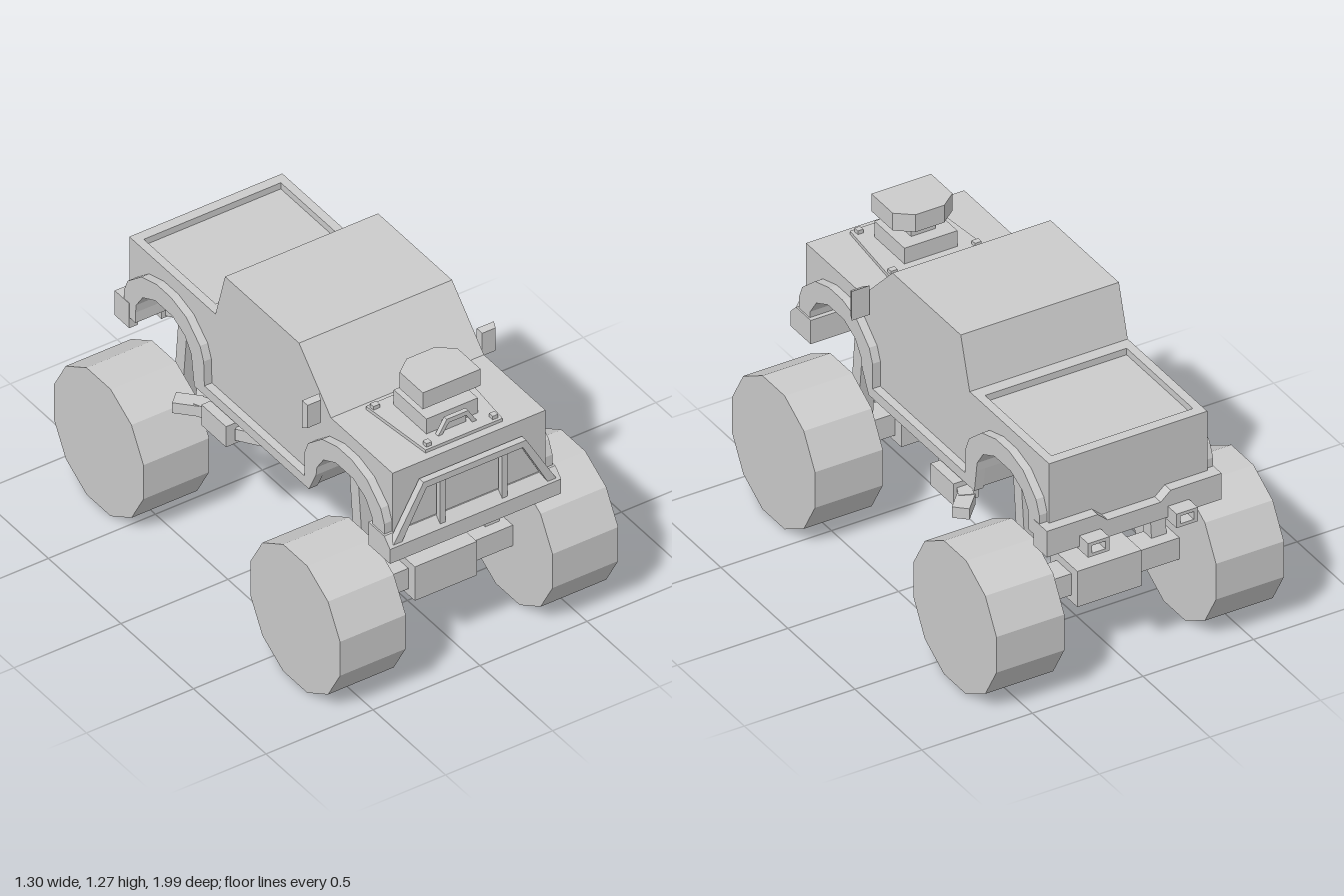
import * as THREE from 'three';

const mat = new THREE.MeshStandardMaterial({ color: 0xcccccc, flatShading: true });

export function createModel() {
  const root = new THREE.Group();
  const SIDES = [['left', 1], ['right', -1]];

  const add = (name, geo) => {
    const m = new THREE.Mesh(geo, mat);
    m.name = name;
    root.add(m);
    return m;
  };
  const box = (name, w, h, d, x, y, z) =>
    add(name, new THREE.BoxGeometry(w, h, d).translate(x, y, z));

  // Extrusion centred on its depth, shape in XY
  const slab = (pts, depth, hole) => {
    const s = new THREE.Shape(pts.map(p => new THREE.Vector2(...p)));
    if (hole) s.holes.push(new THREE.Path(hole.map(p => new THREE.Vector2(...p))));
    return new THREE.ExtrudeGeometry(s, { depth, bevelEnabled: false }).translate(0, 0, -depth / 2);
  };
  // Side profile given as (z, y), extruded across x
  const sideSlab = (pts, width, x = 0) => slab(pts, width).rotateY(-Math.PI / 2).translate(x, 0, 0);
  // Plan outline given as (x, z), extruded between two heights
  const planSlab = (pts, y0, y1, hole) =>
    slab(pts, y1 - y0, hole).rotateX(Math.PI / 2).translate(0, (y0 + y1) / 2, 0);
  const rect = (x0, x1, y0, y1) => [[x0, y0], [x1, y0], [x1, y1], [x0, y1]];
  // Mirror a half outline (x >= 0) across x = 0
  const mirrored = half => [...half, ...half.map(([x, y]) => [-x, y]).reverse()];
  // Square bar between two points
  const bar = (name, a, b, w, h = w) => {
    const p = new THREE.Vector3(...a), q = new THREE.Vector3(...b);
    const m = add(name, new THREE.BoxGeometry(w, h, p.distanceTo(q)));
    m.position.copy(p).add(q).multiplyScalar(0.5);
    m.lookAt(q);
  };

  // Wheel arch curves, running from rear to front around centre c
  const arch = (c, half) => [...half.map(([d, y]) => [c - d, y]), ...half.map(([d, y]) => [c + d, y]).reverse()];
  const inner = [[0.195, 0.75], [0.19, 0.79], [0.145, 0.855], [0.06, 0.895]];
  const outer = [[0.275, 0.81], [0.25, 0.87], [0.155, 0.95], [0.05, 0.98]];
  const FRONT = 0.645, REAR = -0.6;

  // Body shell with arch cut-outs, cab and bed floor
  add('body', sideSlab([
    [-0.89, 0.7], [-0.795, 0.7], ...arch(REAR, inner), [-0.39, 0.66],
    [0.4, 0.66], ...arch(FRONT, inner), [0.84, 0.66], [0.925, 0.66],
    [0.925, 1.045], [0.5, 1.045], [0.28, 1.27], [-0.23, 1.27], [-0.305, 1.015], [-0.89, 1.015],
  ], 0.715));
  box('bodyCore', 0.42, 0.2, 1.7, 0, 0.85, 0.02);
  add('bedRim', planSlab(rect(-0.3575, 0.3575, -0.89, -0.295), 1.01, 1.045,
    rect(-0.32, 0.32, -0.845, -0.35)));

  // Arch flares joined by a sill
  for (const [side, s] of SIDES) {
    add(side + 'FenderTrim', sideSlab([
      [REAR - 0.195, 0.7], ...arch(REAR, inner), [-0.39, 0.65], [0.4, 0.65], ...arch(FRONT, inner),
      [FRONT + 0.195, 0.7], [FRONT + 0.275, 0.7], ...arch(FRONT, outer).reverse(),
      [0.37, 0.695], [-0.32, 0.695], ...arch(REAR, outer).reverse(), [REAR - 0.275, 0.7],
    ], 0.04, s * 0.373));
  }

  // Front bumper and grille guard
  add('frontBumper', sideSlab(
    [[0.82, 0.65], [0.97, 0.65], [0.97, 0.72], [0.93, 0.76], [0.82, 0.76]], 0.8));
  add('grilleGuard', slab(mirrored(
    [[0.34, 0.73], [0.38, 0.73], [0.24, 0.975]]).concat(
    [[-0.34, 0.73], [-0.225, 0.945], [0.225, 0.945]]).filter((p, i) => i !== 5),
  0.03).translate(0, 0, 0.95));
  for (const [side, s] of SIDES) box(side + 'GuardBar', 0.025, 0.23, 0.025, s * 0.145, 0.84, 0.945);

  // Rear bumper with lowered middle and wrapped ends
  add('rearBumper', slab(mirrored(
    [[0.1, 0.65], [0.395, 0.65], [0.395, 0.77], [0.165, 0.77], [0.12, 0.73]]), 0.05).translate(0, 0, -0.91));
  for (const [side, s] of SIDES) {
    box(side + 'BumperEnd', 0.04, 0.12, 0.06, s * 0.375, 0.71, -0.865);
    // Tow hitch: open square tube on a sloping brace
    add(side + 'TowHitch', slab(rect(-0.048, 0.048, 0.635, 0.7), 0.17,
      rect(-0.03, 0.03, 0.65, 0.685)).translate(s * 0.2, 0, -0.915));
    bar(side + 'HitchBrace', [s * 0.2, 0.76, -0.63], [s * 0.2, 0.66, -0.84], 0.06, 0.04);
  }

  // Hood plate, bolts, blower and scoop
  add('hoodPlate', planSlab(mirrored([[0.215, 0.53], [0.18, 0.89]]), 1.04, 1.06));
  for (const [side, s] of SIDES) {
    box(side + 'RearBolt', 0.03, 0.02, 0.025, s * 0.19, 1.067, 0.555);
    box(side + 'FrontBolt', 0.025, 0.02, 0.025, s * 0.155, 1.067, 0.865);
  }
  box('blowerBase', 0.24, 0.075, 0.225, 0, 1.095, 0.695);
  add('beltGuard', slab(
    [[-0.09, 1.06], [-0.07, 1.06], [-0.04, 1.105], [0.04, 1.105], [0.07, 1.06], [0.09, 1.06],
      [0.05, 1.125], [-0.05, 1.125]], 0.02).translate(0, 0, 0.835));
  box('pulley', 0.1, 0.035, 0.03, 0, 1.08, 0.815);
  box('scoopNeck', 0.11, 0.07, 0.09, 0, 1.155, 0.685);
  add('airScoop', planSlab(mirrored(
    [[0.065, 0.59], [0.135, 0.645], [0.135, 0.805]]), 1.185, 1.265));

  // Wing mirrors, tapering toward the front
  for (const [side, s] of SIDES) {
    const g = new THREE.BoxGeometry(0.08, 0.135, 0.025);
    const p = g.attributes.position;
    for (let i = 0; i < p.count; i++) {
      if (p.getZ(i) > 0) p.setXY(i, p.getX(i) * 0.78, p.getY(i) * 0.82);
    }
    add(side + 'Mirror', g.translate(s * 0.408, 1.06, 0.447));
  }

  // Wheels, axles and suspension
  const axles = [['front', 0.685, 1], ['rear', -0.67, -1]];
  for (const [end, z, dir] of axles) {
    for (const [side, s] of SIDES) {
      const tyre = new THREE.CylinderGeometry(0.32, 0.32, 0.307, 12)
        .rotateY(Math.PI / 12).rotateZ(Math.PI / 2);
      add(`${end}${side}Wheel`, tyre.translate(s * 0.4965, 0.31, z));
      bar(`${end}${side}Strut`, [s * 0.282, 0.3, z - dir * 0.04], [s * 0.282, 0.82, z - dir * 0.09], 0.068, 0.06);
    }
    box(end + 'Axle', 0.72, 0.1, 0.11, 0, 0.31, z - dir * 0.02);
    box(end + 'Differential', 0.29, 0.165, 0.2, 0, 0.3125, z - dir * 0.02);
    bar(end + 'CentreLink', [0, 0.36, z - dir * 0.03],
      [0, 0.78, dir > 0 ? z + 0.005 : z + 0.08], 0.094, 0.06);
  }

  // Gearbox under the cab
  box('gearbox', 0.26, 0.085, 0.44, 0, 0.6175, 0.29);

  // Exhausts: down pipe, silencer and tip bent outward
  for (const [side, s] of SIDES) {
    bar(side + 'DownPipe', [s * 0.15, 0.64, 0.11], [s * 0.245, 0.585, 0.05], 0.06, 0.05);
    bar(side + 'ExhaustPipe', [s * 0.23, 0.587, 0.06], [s * 0.365, 0.587, -0.13], 0.06, 0.055);
    box(side + 'Silencer', 0.115, 0.1, 0.17, s * 0.37, 0.588, -0.205);
    bar(side + 'TailPipe', [s * 0.375, 0.587, -0.28], [s * 0.405, 0.587, -0.35], 0.06, 0.055);
    bar(side + 'ExhaustTip', [s * 0.395, 0.587, -0.335], [s * 0.47, 0.587, -0.415], 0.07, 0.05);
  }
  return root;
}
